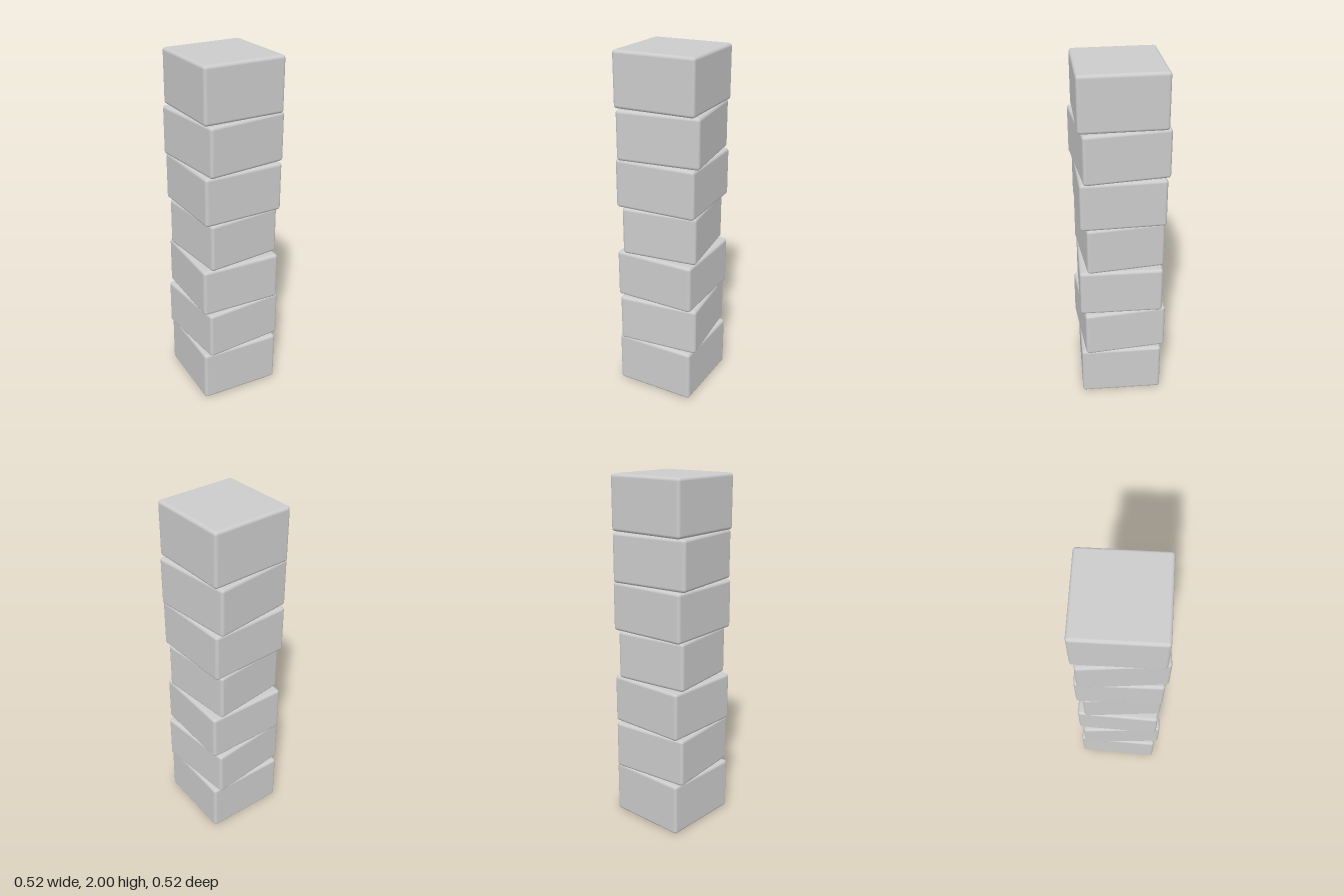
import * as THREE from 'three';
import { RoundedBoxGeometry } from 'three/addons/geometries/RoundedBoxGeometry.js';

// Blocks from bottom to top: width, height, twist in degrees
const BLOCKS = [
  [0.47, 0.305, -0.8],
  [0.47, 0.278, 5.5],
  [0.47, 0.278, -0.8],
  [0.438, 0.278, 6.5],
  [0.472, 0.278, 2],
  [0.472, 0.278, 7],
  [0.472, 0.305, 1.5],
];
const EDGE_RADIUS = 0.018;

export function createModel() {
  const tower = new THREE.Group();
  tower.name = 'blockTower';
  const material = new THREE.MeshStandardMaterial({ color: 0xcccccc });

  // Stack the softly bevelled blocks, each turned about the vertical axis
  let base = 0;
  BLOCKS.forEach(([width, height, twist], i) => {
    const block = new THREE.Mesh(
      new RoundedBoxGeometry(width, height, width, 4, EDGE_RADIUS),
      material
    );
    block.name = `block${i + 1}`;
    block.position.y = base + height / 2;
    block.rotation.y = THREE.MathUtils.degToRad(twist);
    tower.add(block);
    base += height;
  });

  return tower;
}
